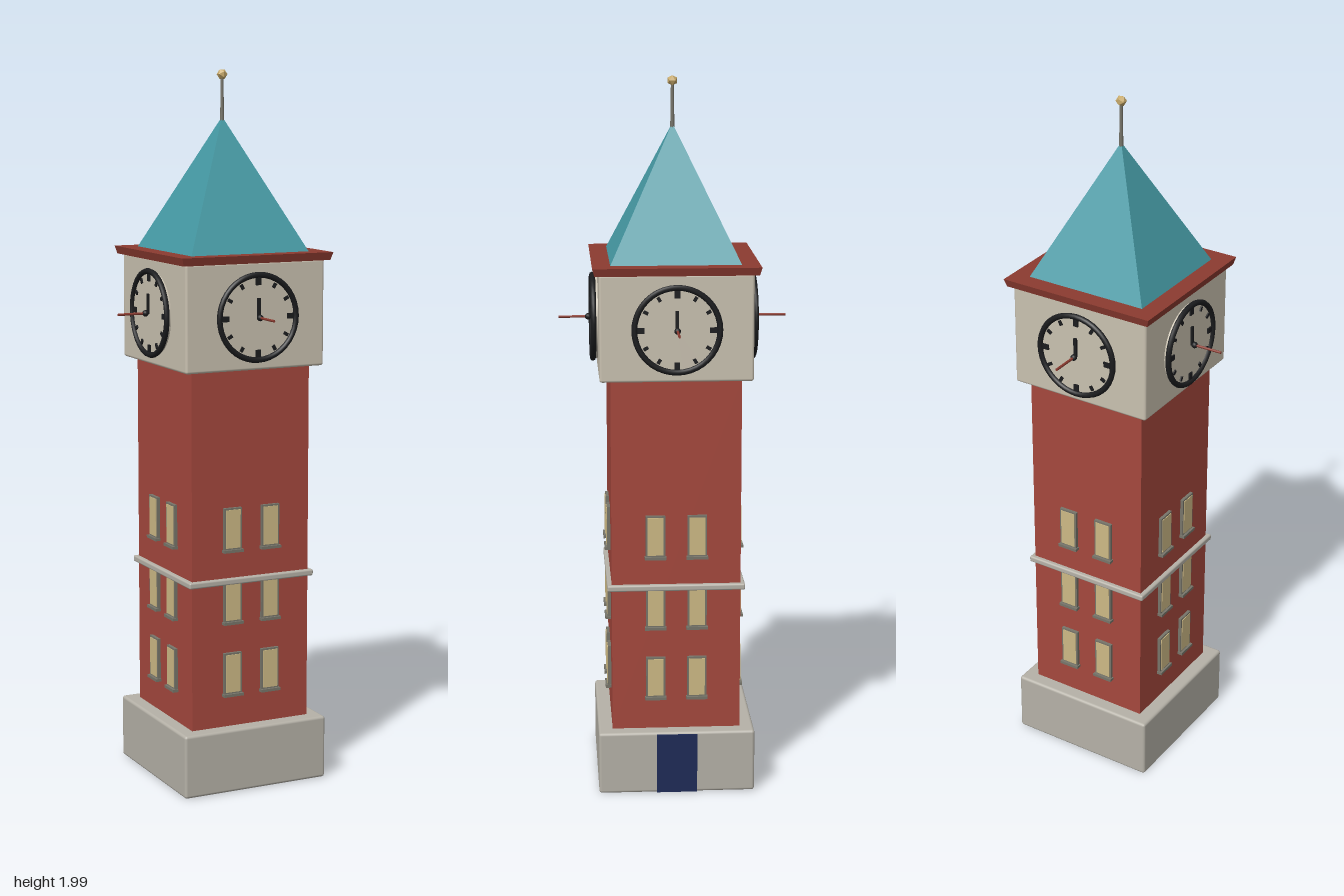
import * as THREE from 'three';
import { RoundedBoxGeometry } from 'three/addons/geometries/RoundedBoxGeometry.js';

const mat = (name, color) => {
  const m = new THREE.MeshStandardMaterial({ color });
  m.name = name;
  return m;
};

export function createModel() {
  const brick = mat('brick red', 0xa5483d);
  const trim = mat('cornice red', 0x8c3b30);
  const stone = mat('base stone', 0xb5b1a7);
  const cream = mat('clock stone', 0xc9c1b0);
  const teal = mat('roof teal', 0x469aa5);
  const glass = mat('window yellow', 0xcdb985);
  const frame = mat('frame grey', 0x77756a);
  const black = mat('clock black', 0x1b1c1e);
  const navy = mat('door navy', 0x1e2b57);
  const gold = mat('finial gold', 0xc9ab6c);

  const model = new THREE.Group();
  model.name = 'clockTower';

  const add = (parent, name, geometry, material, x = 0, y = 0, z = 0) => {
    const mesh = new THREE.Mesh(geometry, material);
    mesh.name = name;
    mesh.position.set(x, y, z);
    parent.add(mesh);
    return mesh;
  };
  const box = (w, h, d) => new THREE.BoxGeometry(w, h, d);
  // Square frustum or pyramid, given by its half widths
  const taper = (top, bottom, h) => {
    const g = new THREE.CylinderGeometry(top * Math.SQRT2, bottom * Math.SQRT2, h, 4)
      .rotateY(Math.PI / 4).toNonIndexed();
    g.computeVertexNormals();
    return g;
  };

  // Main masses
  add(model, 'base', new RoundedBoxGeometry(0.44, 0.18, 0.44, 2, 0.008), stone, 0, 0.093);
  add(model, 'shaft', box(0.36, 1.01, 0.36), brick, 0, 0.685);
  add(model, 'belt', new RoundedBoxGeometry(0.385, 0.018, 0.385, 2, 0.005), stone, 0, 0.6);
  add(model, 'clockRoom', new RoundedBoxGeometry(0.42, 0.295, 0.42, 2, 0.007), cream, 0, 1.338);
  add(model, 'cornice', taper(0.228, 0.222, 0.022), trim, 0, 1.494);
  add(model, 'roof', taper(0, 0.178, 0.365), teal, 0, 1.6875);
  add(model, 'finialPole', new THREE.CylinderGeometry(0.004, 0.006, 0.13, 8), frame, 0, 1.915);
  add(model, 'finialBall', new THREE.IcosahedronGeometry(0.015), gold, 0, 1.985);

  // Door on the left side
  add(model, 'door', box(0.009, 0.172, 0.114), navy, 0.2205, 0.091, 0);

  // Window facing +z
  const addWindow = (parent, x, y) => {
    const w = new THREE.Group();
    w.name = 'window';
    w.position.set(x, y, 0);
    parent.add(w);
    add(w, 'windowFrame', box(0.054, 0.12, 0.012), frame, 0, 0, 0.183);
    add(w, 'windowPane', box(0.044, 0.108, 0.004), glass, 0, 0.001, 0.189);
    add(w, 'windowSill', box(0.06, 0.008, 0.018), frame, 0, -0.061, 0.187);
  };

  // Clock facing +z
  const addClock = (parent) => {
    const c = new THREE.Group();
    c.name = 'clock';
    c.position.set(0, 1.336, 0);
    parent.add(c);
    const disc = new THREE.CylinderGeometry(0.116, 0.116, 0.014, 40).rotateX(Math.PI / 2);
    add(c, 'dial', disc, cream, 0, 0, 0.215);
    add(c, 'dialRing', new THREE.TorusGeometry(0.116, 0.008, 8, 40), black, 0, 0, 0.223);
    for (let i = 0; i < 12; i++) {
      const a = (i * Math.PI) / 6;
      const big = i % 3 === 0;
      const mark = add(c, 'hourMark', box(big ? 0.015 : 0.009, big ? 0.02 : 0.014, 0.006), black,
        Math.sin(a) * 0.098, Math.cos(a) * 0.098, 0.223);
      mark.rotation.z = -a;
    }
    add(c, 'hourHand', box(0.009, 0.055, 0.006), black, 0, 0.026, 0.227);
    add(c, 'handHub', new THREE.SphereGeometry(0.009, 12, 8), black, 0, 0, 0.235);
    // Long hand standing straight out from the dial
    const rod = new THREE.CylinderGeometry(0.0035, 0.0035, 0.09, 8).rotateX(Math.PI / 2);
    add(c, 'longHand', rod, trim, 0, 0, 0.272);
  };

  // Same windows and clock on all four sides
  for (let i = 0; i < 4; i++) {
    const side = new THREE.Group();
    side.name = ['front', 'left', 'back', 'right'][i] + 'Side';
    side.rotation.y = (i * Math.PI) / 2;
    model.add(side);
    for (const y of [0.336, 0.543, 0.748]) {
      for (const x of [-0.058, 0.058]) addWindow(side, x, y);
    }
    addClock(side);
  }
  return model;
}
